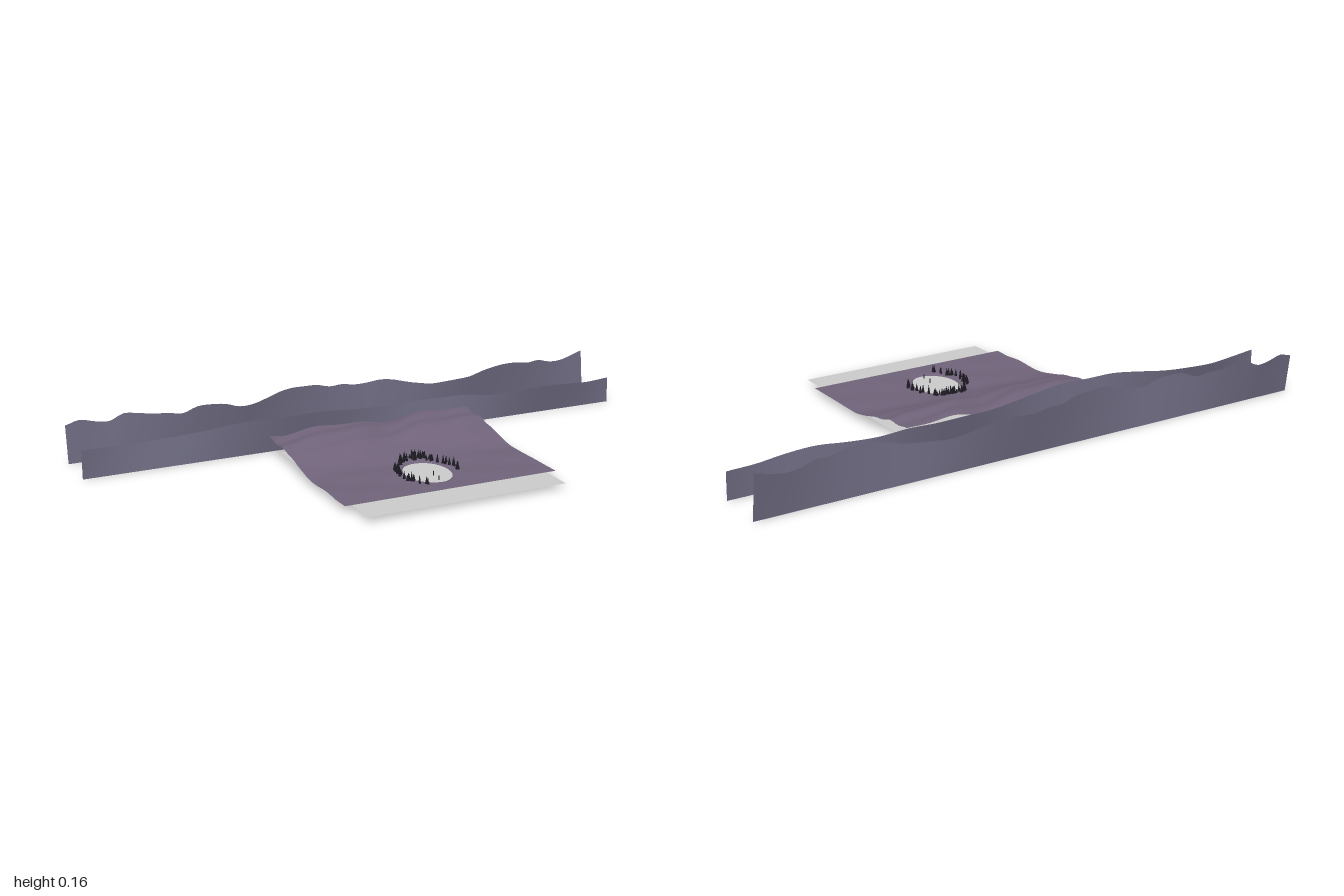
import * as THREE from 'three';

const LAKE = { x: 0, z: 0.19, rx: 0.076, rz: 0.1 };
const WATER_Y = 0.018;
const smooth = THREE.MathUtils.smoothstep;

function seeded(seed) {
  return () => (seed = (seed * 16807) % 2147483647) / 2147483647;
}

const material = (color) =>
  new THREE.MeshStandardMaterial({ color, side: THREE.DoubleSide });

function addMesh(parent, name, geometry, mat) {
  const mesh = new THREE.Mesh(geometry, mat);
  mesh.name = name;
  parent.add(mesh);
  return mesh;
}

// Height of the land: flat shore, a lake basin, and rolling hills at the back
function landHeight(x, z) {
  const hill = 1 - smooth(z, -0.15, 0.1);
  const roll = 0.5 * Math.sin(x * 17 - 1 + z * 6) + 0.3 * Math.sin(x * 31 + z * 17)
    + 0.2 * Math.sin(z * 60 + x * 9);
  const shore = smooth(0.37 - z, 0, 0.09);
  const bumps = 0.0025 * shore * Math.sin(x * 23 + 1) * Math.sin(z * 33 + x * 8);
  const base = 0.0235 + 0.051 * hill + 0.015 * hill * hill * roll + bumps * (1 - hill);
  const d = Math.hypot((x - LAKE.x) / LAKE.rx, (z - LAKE.z) / LAKE.rz);
  return THREE.MathUtils.lerp(0.0135, base, smooth(d, 0.84, 1.18));
}

function landGeometry() {
  const g = new THREE.PlaneGeometry(0.745, 0.61, 110, 90);
  g.rotateX(-Math.PI / 2).translate(-0.001, 0, 0.065);
  const p = g.attributes.position;
  for (let i = 0; i < p.count; i++) p.setY(i, landHeight(p.getX(i), p.getZ(i)));
  g.computeVertexNormals();
  return g;
}

// Upright ribbon with a wavy crest that leans forward and back along its length
function ridgeGeometry(z, crest, zeroX) {
  const curve = new THREE.SplineCurve(crest.map((h, i) =>
    new THREE.Vector2(-1 + (2 * i) / (crest.length - 1), h)));
  const steps = 120, rows = 2;
  const g = new THREE.PlaneGeometry(2, 1, steps, rows);
  const p = g.attributes.position;
  for (let i = 0; i < p.count; i++) {
    const x = p.getX(i);
    const t = p.getY(i) + 0.5;
    const top = curve.getPoint((x + 1) / 2).y;
    const lean = -0.0185 * Math.sin((2 * Math.PI * (x - zeroX)) / 0.98);
    p.setXYZ(i, x, t * top, z + lean * t);
  }
  g.computeVertexNormals();
  return g;
}

export function createModel() {
  const group = new THREE.Group();
  group.name = 'mountainLake';
  const ridgeMat = material(0x6d6a80);
  const treeMat = material(0x1c1a22);

  addMesh(group, 'land', landGeometry(), material(0x70637a));

  // Flat water sheet, seen through the basin and in front of the shore
  const water = new THREE.PlaneGeometry(0.69, 0.69).rotateX(-Math.PI / 2);
  addMesh(group, 'water', water, material(0xcccccc)).position.set(0, WATER_Y, 0.13);

  // Distant ridges
  addMesh(group, 'nearRidge', ridgeGeometry(-0.287, [
    0.098, 0.094, 0.09, 0.094, 0.1, 0.112, 0.122, 0.12, 0.122, 0.115, 0.106,
    0.1, 0.102, 0.1, 0.1, 0.09, 0.092, 0.1, 0.097, 0.09, 0.092], 0), ridgeMat);
  addMesh(group, 'farRidge', ridgeGeometry(-0.459, [
    0.13, 0.142, 0.13, 0.124, 0.145, 0.14, 0.133, 0.13, 0.124, 0.143, 0.145, 0.14,
    0.125, 0.127, 0.14, 0.155, 0.162, 0.16, 0.157, 0.144, 0.145, 0.137, 0.138, 0.143,
    0.138, 0.125, 0.115, 0.108, 0.111, 0.115, 0.12, 0.135, 0.145, 0.15, 0.148, 0.14,
    0.143, 0.13, 0.128, 0.138, 0.152], -0.16), ridgeMat);

  // Conifers in clusters along the shore: [start angle, end angle, count]
  const rand = seeded(4271);
  const trees = new THREE.Group();
  trees.name = 'trees';
  group.add(trees);
  const cone = new THREE.ConeGeometry(1, 1, 6).translate(0, 0.5, 0);
  const clusters = [[-0.95, 0.2, 16], [-2.25, -1.0, 24], [-3.9, -2.6, 26], [-4.15, -3.9, 4]];
  for (const [from, to, count] of clusters) {
    for (let i = 0; i < count; i++) {
      const a = from + (to - from) * rand();
      const r = 1.17 + 0.22 * rand();
      const x = LAKE.x + Math.cos(a) * LAKE.rx * r;
      const z = LAKE.z + Math.sin(a) * LAKE.rz * r;
      const h = 0.016 + 0.018 * rand();
      const w = 0.004 + 0.003 * rand();
      const tree = addMesh(trees, 'tree', cone, treeMat);
      tree.position.set(x, landHeight(x, z) - 0.002, z);
      tree.scale.set(w, h, w);
    }
  }

  // Tiny posts standing in the water
  for (const [x, z] of [[0.006, 0.22], [0, 0.27]]) {
    const post = addMesh(group, 'waterPost', new THREE.CylinderGeometry(0.0015, 0.002, 0.015, 6), treeMat);
    post.position.set(x, WATER_Y + 0.007, z);
  }
  return group;
}
